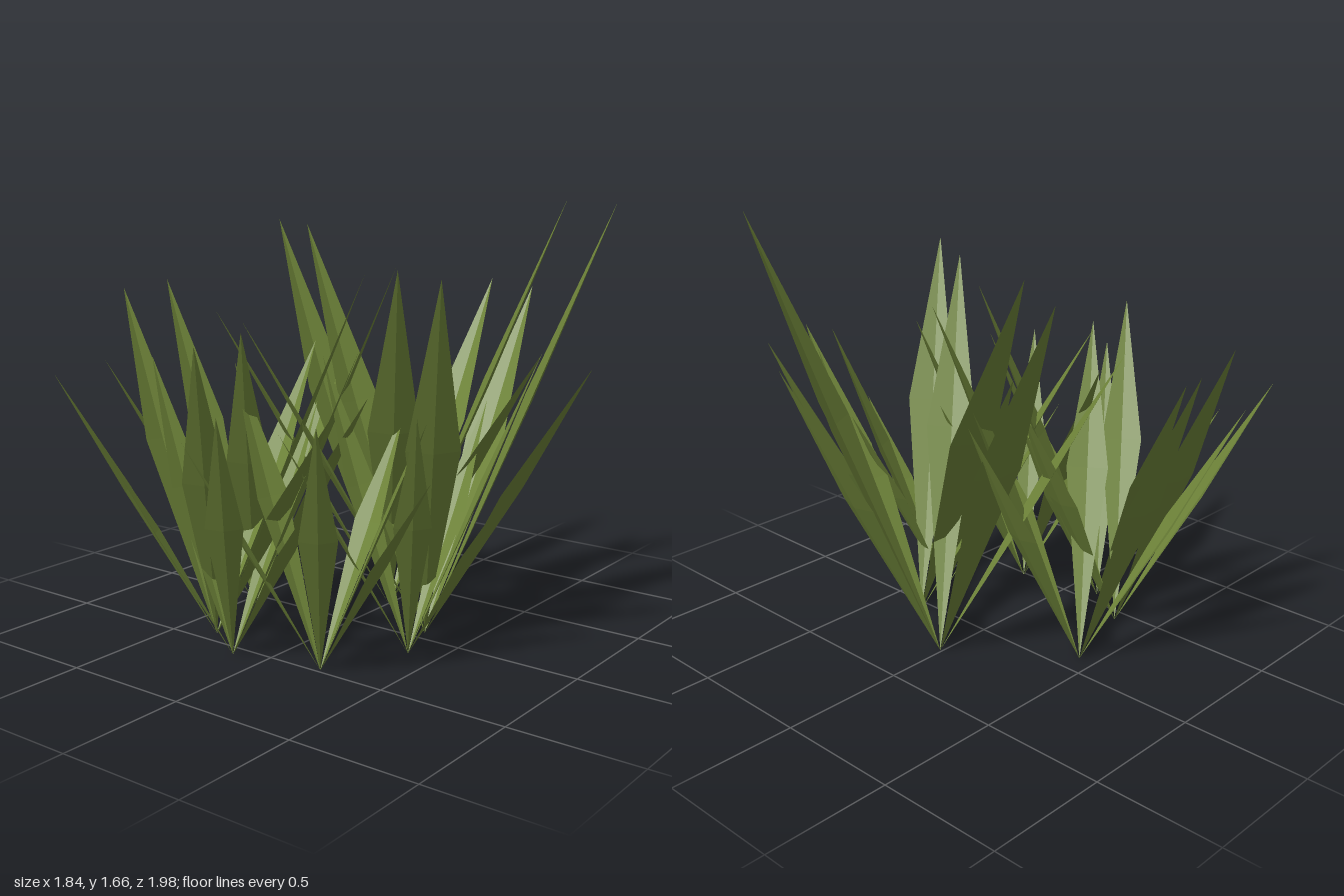
import * as THREE from 'three';

const leafGreen = new THREE.MeshStandardMaterial({ color: 0x70863a, side: THREE.DoubleSide, flatShading: true });
leafGreen.name = 'leafGreen';

// Tip of each leaf, measured from the root of a full-size tuft
const leafTips = [
  [0.67, 1.30, 0.06],
  [0.37, 1.66, 0.57],
  [0.00, 1.11, 0.68],
  [-0.54, 1.44, 0.41],
  [-0.465, 1.23, -0.51],
  [0.12, 1.55, -0.67],
];

// Root x, root z and scale of each tuft
const tufts = [
  [0.24, 0.01, 1], [0.055, 0.31, 1],
  [-0.09, -0.43, 0.84], [-0.435, -0.33, 0.84],
  [-0.56, -0.135, 0.69], [-0.485, 0.22, 0.69], [-0.16, 0.38, 0.69],
];

// Kite-shaped blade with a shallow fold along its middle
function leafGeometry(tipXYZ) {
  const root = new THREE.Vector3();
  const tip = new THREE.Vector3(...tipXYZ);
  const along = tip.clone().normalize();
  const side = new THREE.Vector3(0, 1, 0).cross(along).normalize();
  const inner = along.clone().cross(side); // upper face of the blade
  const half = tip.length() * 0.0615;
  const mid = tip.clone().multiplyScalar(0.56);
  const fold = mid.clone().addScaledVector(inner, -0.012);
  const edge = (s) => mid.clone().addScaledVector(side, s * half).addScaledVector(inner, 0.008);
  const a = edge(1), b = edge(-1);
  const geometry = new THREE.BufferGeometry().setFromPoints([
    root, a, fold, a, tip, fold,
    root, fold, b, fold, tip, b,
  ]);
  geometry.computeVertexNormals();
  return geometry;
}

export function createModel() {
  const plant = new THREE.Group();
  plant.name = 'grassPatch';
  const blades = leafTips.map(leafGeometry);
  for (const [x, z, scale] of tufts) {
    const tuft = new THREE.Group();
    tuft.name = 'tuft';
    for (const blade of blades) {
      const leaf = new THREE.Mesh(blade, leafGreen);
      leaf.name = 'leaf';
      tuft.add(leaf);
    }
    tuft.position.set(x, 0, z);
    tuft.scale.setScalar(scale);
    plant.add(tuft);
  }
  return plant;
}
